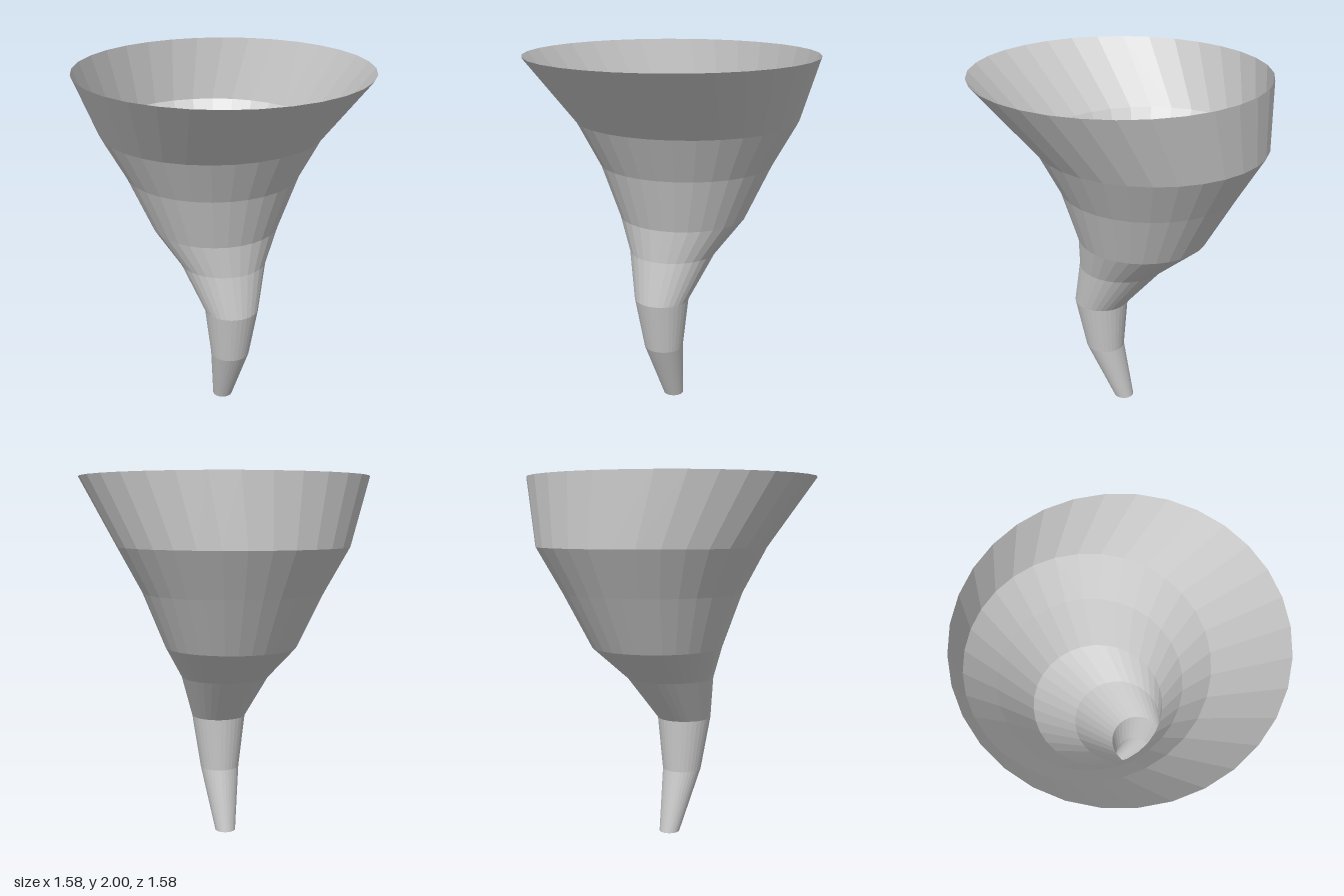
import * as THREE from 'three';

// Horizontal rings of the horn from rim to tip: [height, radius, z of centre]
const RINGS = [
  [2.0, 0.788, 0.0],
  [1.63, 0.619, -0.172],
  [1.385, 0.486, -0.165],
  [1.085, 0.358, -0.128],
  [0.9, 0.243, -0.015],
  [0.65, 0.152, 0.111],
  [0.35, 0.11, 0.09],
  [0, 0.057, -0.023],
];
const SIDES = 32;

export function createModel() {
  const group = new THREE.Group();
  group.name = 'funnel';

  // Open unit tube whose rows are scaled and shifted onto the rings
  const geometry = new THREE.CylinderGeometry(1, 1, 1, SIDES, RINGS.length - 1, true);
  const pos = geometry.attributes.position;
  for (let i = 0; i < pos.count; i++) {
    const [y, radius, z] = RINGS[Math.floor(i / (SIDES + 1))];
    pos.setXYZ(i, pos.getX(i) * radius, y, pos.getZ(i) * radius + z);
  }
  geometry.computeVertexNormals();

  // Thin faceted wall, open at the rim and the tip
  const wall = new THREE.Mesh(
    geometry,
    new THREE.MeshStandardMaterial({ color: 0xcccccc, flatShading: true, side: THREE.DoubleSide })
  );
  wall.name = 'funnelWall';
  group.add(wall);
  return group;
}
